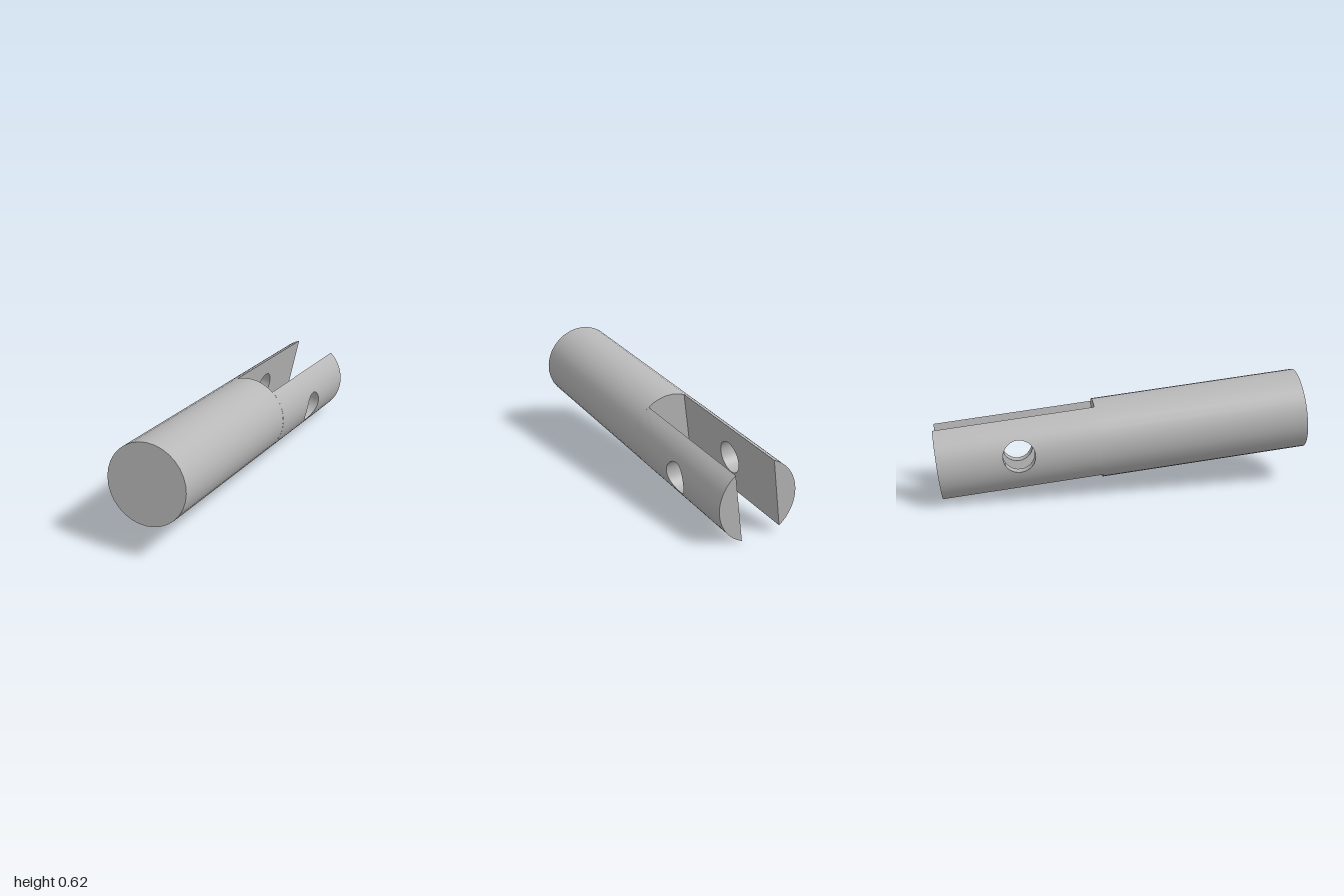
import * as THREE from 'three';
import { mergeVertices } from 'three/addons/utils/BufferGeometryUtils.js';

const R = 0.2135;        // rod radius
const SLOT = 0.107;      // half width of the slot
const HALF = 0.985;      // half length of the rod
const FLOOR = -0.128;    // where the slot ends
const HOLE_R = 0.085;    // cross hole radius
const HOLE_Z = (FLOOR - HALF) / 2;
const EDGE_Y = Math.sqrt(R * R - SLOT * SLOT);
const EDGE_Z = (FLOOR + HALF) / 2;

// Bend a grid by a rule (u, v) -> point, with its seam welded.
function sheet(nu, nv, rule) {
  const geo = new THREE.PlaneGeometry(1, 1, nu, nv);
  const { uv, position } = geo.attributes;
  for (let i = 0; i < position.count; i++) {
    position.setXYZ(i, ...rule(uv.getX(i), uv.getY(i)));
  }
  geo.deleteAttribute('uv');
  geo.deleteAttribute('normal');
  const welded = mergeVertices(geo, 1e-5);
  welded.computeVertexNormals();
  return welded;
}

// Point [y, z] between the hole edge (t = 0) and the prong's rectangular rim (t = 1).
function around(u, t) {
  const corners = [[-1, 1], [1, 1], [1, -1], [-1, -1]];
  const side = Math.floor(u * 4 + 1e-6);
  const f = u * 4 - side;
  const a = corners[side % 4], b = corners[(side + 1) % 4];
  const y = (a[0] + (b[0] - a[0]) * f) * EDGE_Y;
  const z = (a[1] + (b[1] - a[1]) * f) * EDGE_Z;
  const k = HOLE_R / Math.hypot(y, z);
  const s = k + (1 - k) * t;
  return [y * s, HOLE_Z + z * s];
}

const outerX = (y) => Math.sqrt(Math.max(R * R - y * y, 0));

export function createModel() {
  const model = new THREE.Group();
  model.name = 'slottedRod';
  const metal = new THREE.MeshStandardMaterial({ color: 0xb8b8b8 });
  metal.name = 'plain grey';

  const add = (parent, name, geo) => {
    const mesh = new THREE.Mesh(geo, metal);
    mesh.name = name;
    parent.add(mesh);
  };

  const rod = new THREE.Group();
  rod.name = 'rod';
  model.add(rod);

  // Solid front part; its rear cap is the floor of the slot
  const body = new THREE.CylinderGeometry(R, R, HALF - FLOOR, 32);
  body.rotateX(Math.PI / 2).translate(0, 0, (HALF + FLOOR) / 2);
  add(rod, 'solidBody', body);

  // Prong surfaces, each pierced by the cross hole
  const outer = sheet(96, 10, (u, v) => {
    const [y, z] = around(u, v);
    return [outerX(y), y, z];
  });
  const inner = sheet(96, 1, (u, v) => {
    const [y, z] = around(u, 1 - v);
    return [SLOT, y, z];
  });
  const bore = sheet(96, 1, (u, v) => {
    const [y, z] = around(u, 0);
    return [SLOT + (outerX(y) - SLOT) * v, y, z];
  });
  const angle = Math.acos(SLOT / R);
  const segment = new THREE.Shape().absarc(0, 0, R, -angle, angle, false);
  const end = new THREE.ShapeGeometry(segment, 24);
  end.rotateX(Math.PI).translate(0, 0, -HALF);

  // Two matching prongs, half a turn apart
  ['leftProng', 'rightProng'].forEach((name, i) => {
    const prong = new THREE.Group();
    prong.name = name;
    prong.rotation.z = i * Math.PI;
    add(prong, 'outerWall', outer);
    add(prong, 'slotWall', inner);
    add(prong, 'crossHole', bore);
    add(prong, 'endFace', end);
    rod.add(prong);
  });

  // Tilt the rod nose up, with a slight yaw and roll
  const zAxis = new THREE.Vector3(-0.034, 0.206, 1.96).normalize();
  const xAxis = new THREE.Vector3(0.18, 0.984, 0).addScaledVector(zAxis, -0.1).cross(zAxis).normalize();
  const yAxis = zAxis.clone().cross(xAxis);
  rod.quaternion.setFromRotationMatrix(new THREE.Matrix4().makeBasis(xAxis, yAxis, zAxis));
  rod.position.y = 0.3;
  return model;
}
